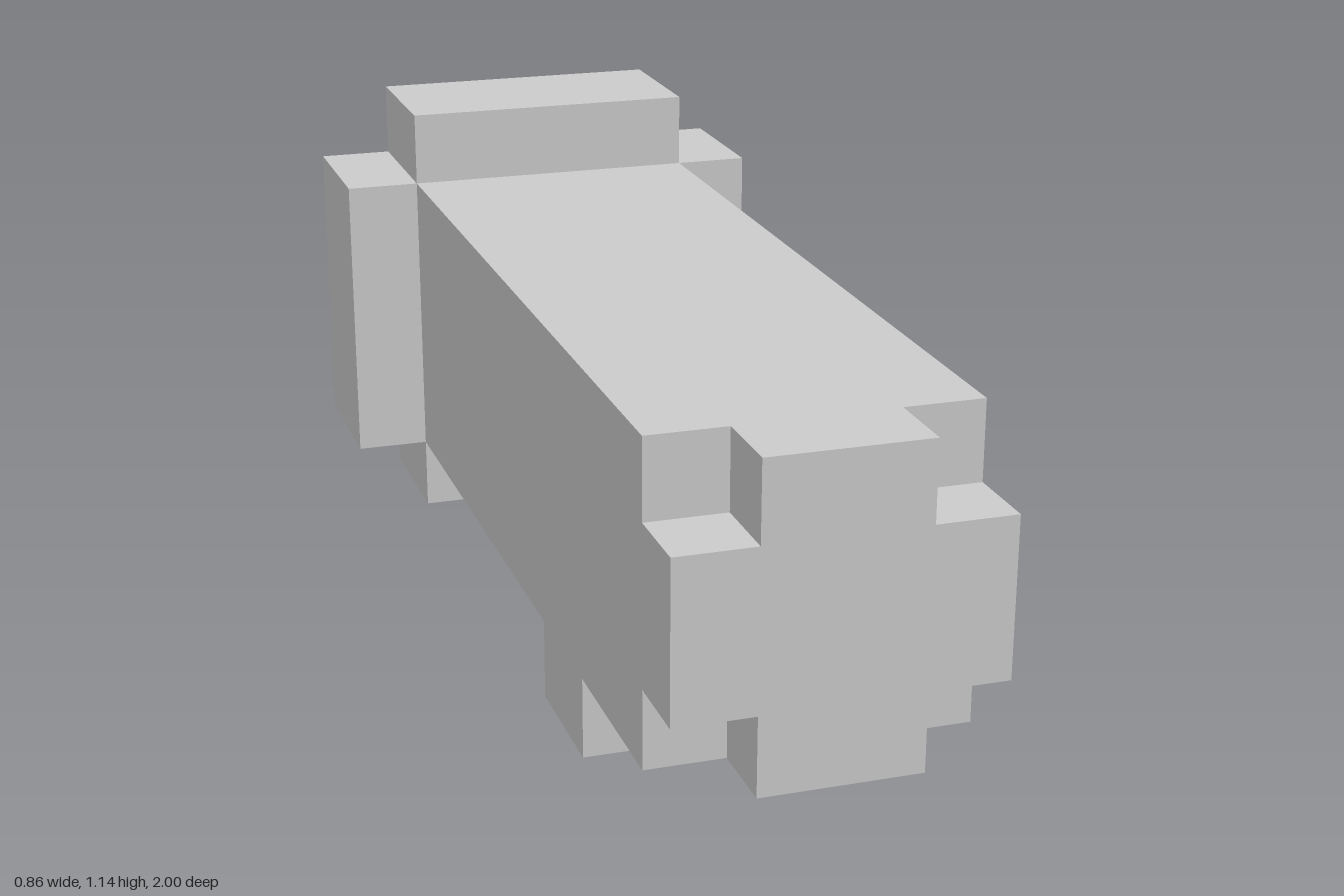
import * as THREE from 'three';

const U = 1 / 7; // grid unit: every edge is a whole number of these
const material = new THREE.MeshStandardMaterial({ color: 0xcccccc, flatShading: true });

// Box from its minimum and maximum corners, in grid units
function block(name, [x0, y0, z0], [x1, y1, z1]) {
  const geometry = new THREE.BoxGeometry((x1 - x0) * U, (y1 - y0) * U, (z1 - z0) * U);
  geometry.translate((x0 + x1) / 2 * U, (y0 + y1) / 2 * U, (z0 + z1) / 2 * U);
  const mesh = new THREE.Mesh(geometry, material);
  mesh.name = name;
  return mesh;
}

export function createModel() {
  const model = new THREE.Group();
  model.name = 'model';

  // Long square body, ending one unit inside the rear frame
  model.add(block('body', [-2, 3, -6], [2, 7, 6]));

  // Cross-shaped front end with notched corners
  const cross = new THREE.Shape([
    [-1, -2], [1, -2], [1, -1], [2, -1], [2, 1], [1, 1],
    [1, 2], [-1, 2], [-1, 1], [-2, 1], [-2, -1], [-1, -1],
  ].map(([x, y]) => new THREE.Vector2(x * U, y * U)));
  const front = new THREE.Mesh(
    new THREE.ExtrudeGeometry(cross, { depth: U, bevelEnabled: false }), material);
  front.name = 'notchedFront';
  front.position.set(0, 5 * U, 6 * U);
  model.add(front);

  // Four bars around the rear, leaving a shallow recess behind the body
  const frame = new THREE.Group();
  frame.name = 'rearFrame';
  frame.add(
    block('topBar', [-2, 7, -7], [2, 8, -5]),
    block('bottomBar', [-2, 2, -7], [2, 3, -5]),
    block('leftBar', [2, 3, -7], [3, 7, -5]),
    block('rightBar', [-3, 3, -7], [-2, 7, -5]),
  );
  model.add(frame);

  // Grip under the body
  model.add(block('grip', [-1, 0, -2], [1, 3, 0]));

  return model;
}
